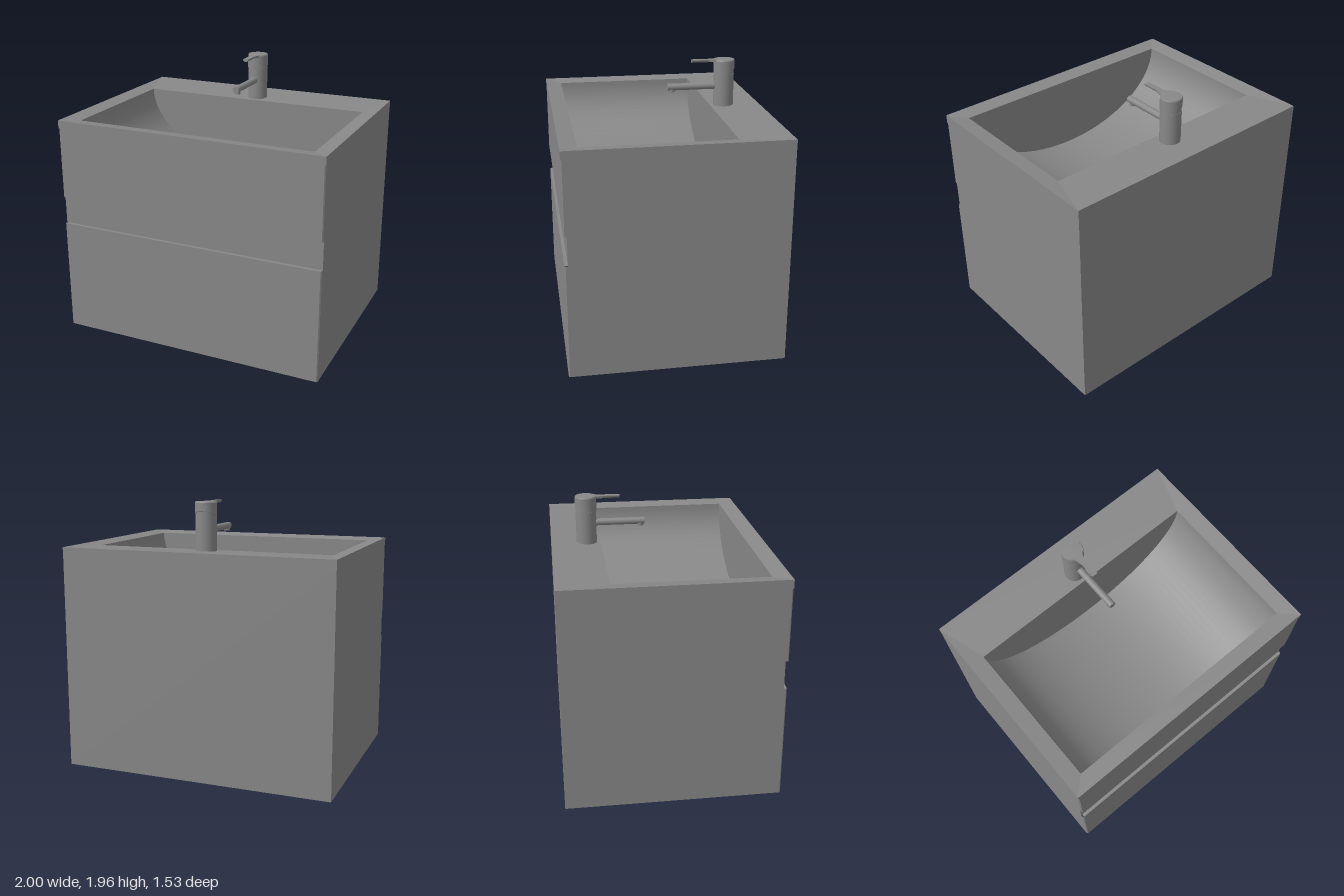
import * as THREE from 'three';

const material = new THREE.MeshStandardMaterial({ color: 0x888888, side: THREE.DoubleSide });
const TOP = 1.625, SLAB = 0.06, DECK = TOP - SLAB, DIP = 0.016;
const HALF = 0.999, BACK = -0.767;
const FRONT = 0.765, GRIP = 0.742, CHAMFER = 0.008;
const GRIP_LOW = 0.837, GRIP_HIGH = 1.042;

function add(parent, name, geometry, x = 0, y = 0, z = 0) {
  const mesh = new THREE.Mesh(geometry, material);
  mesh.name = name;
  mesh.position.set(x, y, z);
  parent.add(mesh);
  return mesh;
}

// Drawer front with chamfered vertical edges
function drawerFront(y0, y1) {
  const sheet = new THREE.PlaneGeometry(1, y1 - y0, 3, 1);
  const plan = [[-HALF, -CHAMFER], [CHAMFER - HALF, 0], [HALF - CHAMFER, 0], [HALF, -CHAMFER]];
  const p = sheet.attributes.position;
  for (let i = 0; i < p.count; i++) {
    const [x, z] = plan[i % 4];
    p.setX(i, x);
    p.setZ(i, z);
  }
  const flat = sheet.toNonIndexed();
  flat.computeVertexNormals();
  return flat;
}

// Hollow cabinet, open underneath, with a grip channel across the front
function cabinet() {
  const group = new THREE.Group();
  group.name = 'cabinet';
  const edge = FRONT - CHAMFER;
  const outline = [[BACK, DECK], [BACK, 0], [edge, 0], [edge, GRIP_LOW], [GRIP, GRIP_LOW],
    [GRIP, GRIP_HIGH], [edge, GRIP_HIGH], [edge, DECK]];
  const side = new THREE.Shape(outline.map(([z, y]) => new THREE.Vector2(-z, y)));
  for (const s of [-1, 1]) {
    add(group, s > 0 ? 'leftSide' : 'rightSide', new THREE.ShapeGeometry(side).rotateY(Math.PI / 2), s * HALF);
  }
  add(group, 'lowerDrawerFront', drawerFront(0, GRIP_LOW), 0, GRIP_LOW / 2, FRONT);
  add(group, 'upperDrawerFront', drawerFront(GRIP_HIGH, DECK), 0, (GRIP_HIGH + DECK) / 2, FRONT);
  add(group, 'gripChannel', new THREE.PlaneGeometry(2 * HALF, GRIP_HIGH - GRIP_LOW), 0, (GRIP_LOW + GRIP_HIGH) / 2, GRIP);
  for (const y of [GRIP_LOW, GRIP_HIGH]) {
    const ledge = new THREE.PlaneGeometry(2 * (HALF - CHAMFER), FRONT - GRIP).rotateX(-Math.PI / 2);
    add(group, y === GRIP_LOW ? 'gripLowerLedge' : 'gripUpperLedge', ledge, 0, y, (FRONT + GRIP) / 2);
  }
  add(group, 'backPanel', new THREE.PlaneGeometry(2 * HALF, DECK).rotateY(Math.PI), 0, DECK / 2, BACK);
  return group;
}

// Washbasin: slab falling slightly towards a trough curved from left to right
function washbasin() {
  const group = new THREE.Group();
  group.name = 'washbasin';
  const w = 0.885, z0 = -0.41, z1 = 0.65, depth = 0.54, rim = TOP - DIP;
  const rect = (x, a, b) => [[-x, a], [x, a], [x, b], [-x, b]].map(q => new THREE.Vector2(...q));
  const shape = new THREE.Shape(rect(1, BACK, 0.766));
  shape.holes.push(new THREE.Path(rect(w, z0, z1)));
  const slab = new THREE.ExtrudeGeometry(shape, { depth: SLAB, bevelEnabled: false }).rotateX(Math.PI / 2);
  const s = slab.attributes.position;
  for (let i = 0; i < s.count; i++) {
    if (s.getY(i) > -0.001 && Math.abs(s.getX(i)) < 0.9) s.setY(i, -DIP);
  }
  slab.computeVertexNormals();
  add(group, 'countertop', slab, 0, TOP);

  const trough = new THREE.PlaneGeometry(1, z1 - z0, 48, 1).rotateX(-Math.PI / 2);
  const p = trough.attributes.position;
  for (let i = 0; i < p.count; i++) {
    const a = (p.getX(i) + 0.5) * Math.PI;
    p.setXY(i, -w * Math.cos(a), -depth * Math.sin(a));
  }
  trough.computeVertexNormals();
  add(group, 'basinTrough', trough, 0, rim, (z0 + z1) / 2);

  const end = new THREE.Shape();
  end.absellipse(0, 0, w, depth, Math.PI, 2 * Math.PI, false);
  add(group, 'basinBackWall', new THREE.ShapeGeometry(end, 48), 0, rim, z0);
  add(group, 'basinFrontWall', new THREE.ShapeGeometry(end, 48).rotateY(Math.PI), 0, rim, z1);
  return group;
}

// Single-lever mixer tap
function tap() {
  const group = new THREE.Group();
  group.name = 'tap';
  group.position.set(0, TOP, -0.51);
  add(group, 'tapBody', new THREE.CylinderGeometry(0.074, 0.074, 0.24, 40), 0, 0.104);
  add(group, 'tapCartridge', new THREE.CylinderGeometry(0.072, 0.072, 0.06, 40), 0, 0.24);

  // Head with a slanted, curved lower edge
  const r = 0.077;
  const head = new THREE.LatheGeometry([[0, 0.225], [r, 0.225], [r, 0.225], [r, 0.322], [r, 0.322],
    [0.073, 0.33], [0.073, 0.33], [0, 0.332]].map(q => new THREE.Vector2(...q)), 40);
  const p = head.attributes.position;
  for (let i = 0; i < p.count; i++) {
    const z = p.getZ(i);
    if (p.getY(i) < 0.24) p.setY(i, 0.236 - 0.3 * z + 1.5 * z * z);
  }
  head.computeVertexNormals();
  add(group, 'tapHead', head);

  // Half-round lever and the flare joining it to the head
  const section = new THREE.Shape();
  section.absarc(0, 0, 0.021, Math.PI, 2 * Math.PI, false);
  add(group, 'tapLever', new THREE.ExtrudeGeometry(section, { depth: 0.2, bevelEnabled: false }), 0, 0.33, 0.045);
  const flare = new THREE.Shape();
  flare.moveTo(-0.07, 0.02);
  flare.quadraticCurveTo(-0.024, 0.07, -0.021, 0.12);
  flare.lineTo(0.021, 0.12);
  flare.quadraticCurveTo(0.024, 0.07, 0.07, 0.02);
  add(group, 'leverFlare', new THREE.ExtrudeGeometry(flare, { depth: 0.016, bevelEnabled: false }).rotateX(Math.PI / 2), 0, 0.329);

  // Spout with outlet under its tip
  add(group, 'tapSpout', new THREE.CylinderGeometry(0.025, 0.025, 0.39, 28).rotateX(Math.PI / 2), 0, 0.133, 0.229);
  add(group, 'tapOutlet', new THREE.CylinderGeometry(0.022, 0.022, 0.035, 24), 0, 0.115, 0.392);
  return group;
}

export function createModel() {
  const model = new THREE.Group();
  model.name = 'vanityUnit';
  model.add(cabinet(), washbasin(), tap());
  return model;
}
